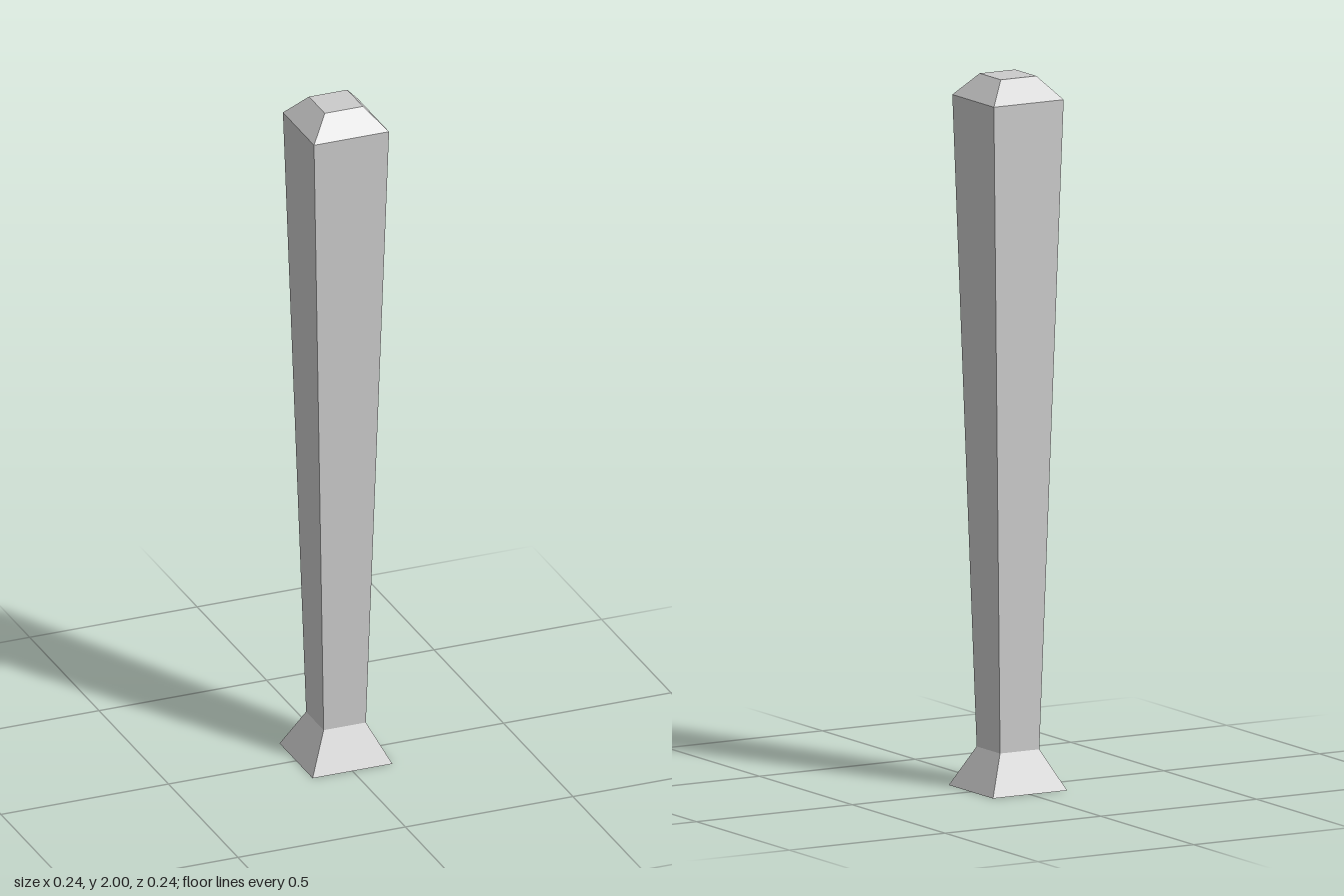
import * as THREE from 'three';

const material = new THREE.MeshStandardMaterial({ color: 0xcccccc, flatShading: true });

// Square section swept up a profile of [half width, height] points
function squarePart(name, profile) {
  const points = profile.map(([half, y]) => new THREE.Vector2(half * Math.SQRT2, y));
  const geometry = new THREE.LatheGeometry(points, 4).rotateY(Math.PI / 4);
  const mesh = new THREE.Mesh(geometry, material);
  mesh.name = name;
  return mesh;
}

export function createModel() {
  const post = new THREE.Group();
  post.name = 'post';
  post.add(
    // Flared foot, closed underneath
    squarePart('foot', [[0, 0], [0.119, 0], [0.063, 0.112]]),
    // Shaft widening towards the top
    squarePart('shaft', [[0.063, 0.112], [0.112, 1.937]]),
    // Bevelled cap with a flat top
    squarePart('cap', [[0.112, 1.937], [0.057, 2], [0, 2]]),
  );
  return post;
}
